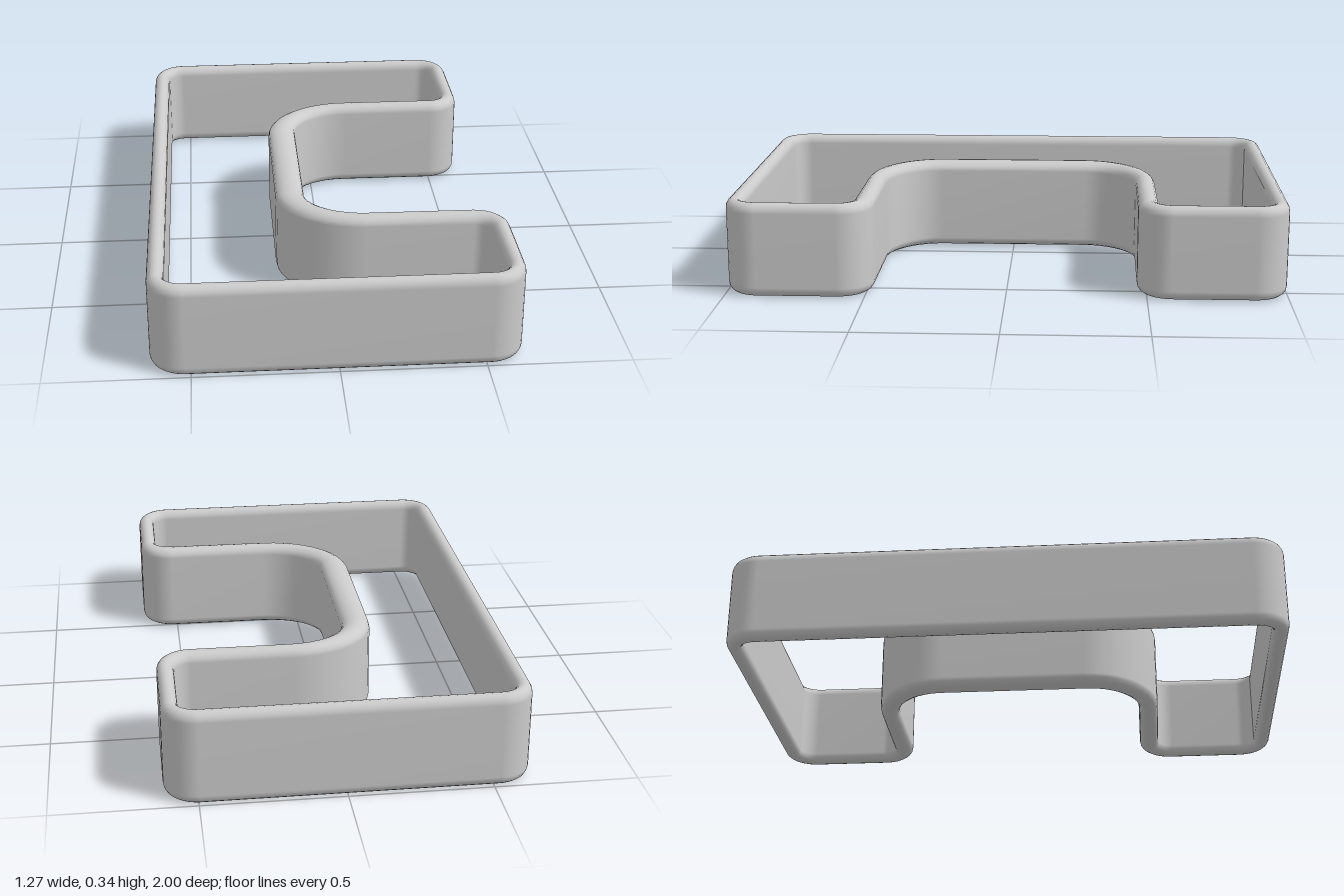
import * as THREE from 'three';

const HEIGHT = 0.34, EDGE = 0.035;
const CORNER_STEPS = 10, EDGE_STEPS = 8;

// Corners of the wall, clockwise from above: outer [x, z], inner [x, z],
// then the outer and inner rounding as [cut along x, cut along z].
const SMALL = [[0.12, 0.12], [0.06, 0.06]];
const LARGE = [[0.22, 0.19], [0.31, 0.27]];
const CORNERS = [
  [[-0.64, -1], [-0.58, -0.94], ...SMALL],
  [[0.615, -1], [0.555, -0.94], ...SMALL],
  [[0.615, -0.465], [0.555, -0.54], ...SMALL],
  [[-0.075, -0.47], [-0.18, -0.54], ...LARGE],
  [[-0.075, 0.47], [-0.18, 0.54], ...LARGE],
  [[0.635, 0.475], [0.575, 0.55], ...SMALL],
  [[0.635, 1], [0.575, 0.94], ...SMALL],
  [[-0.64, 1], [-0.58, 0.94], ...SMALL],
];

// Closed outline with each corner replaced by a quarter ellipse
function roundedOutline(points, cuts) {
  const out = [];
  const n = points.length;
  points.forEach(([x, z], i) => {
    const corner = new THREE.Vector2(x, z);
    const leg = (j) => {
      const d = new THREE.Vector2(...points[(j + n) % n]).sub(corner).normalize();
      return d.multiplyScalar(Math.abs(d.x) > Math.abs(d.y) ? cuts[i][0] : cuts[i][1]);
    };
    const before = leg(i - 1), after = leg(i + 1);
    for (let k = 0; k <= CORNER_STEPS; k++) {
      const t = (k / CORNER_STEPS) * Math.PI / 2;
      out.push(corner.clone()
        .addScaledVector(before, 1 - Math.sin(t))
        .addScaledVector(after, 1 - Math.cos(t)));
    }
  });
  return out;
}

// Cross-section as [share of the way from outer to inner, height]
function wallSection() {
  const section = [];
  for (const top of [true, false]) {
    for (let k = 0; k <= EDGE_STEPS; k++) {
      const a = (k / EDGE_STEPS) * Math.PI;
      const across = 0.5 - 0.5 * Math.cos(a);
      const rise = EDGE * Math.sin(a);
      section.push(top ? [across, HEIGHT - EDGE + rise] : [1 - across, EDGE - rise]);
    }
  }
  return section;
}

// Sweep the section round the paired outlines
function wallGeometry() {
  const outer = roundedOutline(CORNERS.map(c => c[0]), CORNERS.map(c => c[2]));
  const inner = roundedOutline(CORNERS.map(c => c[1]), CORNERS.map(c => c[3]));
  const section = wallSection();
  const rings = outer.length, m = section.length;
  const positions = [], index = [];
  for (let j = 0; j < rings; j++) {
    section.forEach(([t, y], k) => {
      const p = outer[j].clone().lerp(inner[j], t);
      positions.push(p.x, y, p.y);
      const next = ((j + 1) % rings) * m, k2 = (k + 1) % m;
      const a = j * m + k, b = next + k, c = next + k2, d = j * m + k2;
      index.push(a, d, b, b, d, c);
    });
  }
  const geometry = new THREE.BufferGeometry();
  geometry.setAttribute('position', new THREE.Float32BufferAttribute(positions, 3));
  geometry.setIndex(index);
  geometry.computeVertexNormals();
  return geometry;
}

export function createModel() {
  const group = new THREE.Group();
  group.name = 'notchedFrame';
  const wall = new THREE.Mesh(wallGeometry(), new THREE.MeshStandardMaterial({ color: 0xcccccc }));
  wall.name = 'frameWall';
  group.add(wall);
  return group;
}
